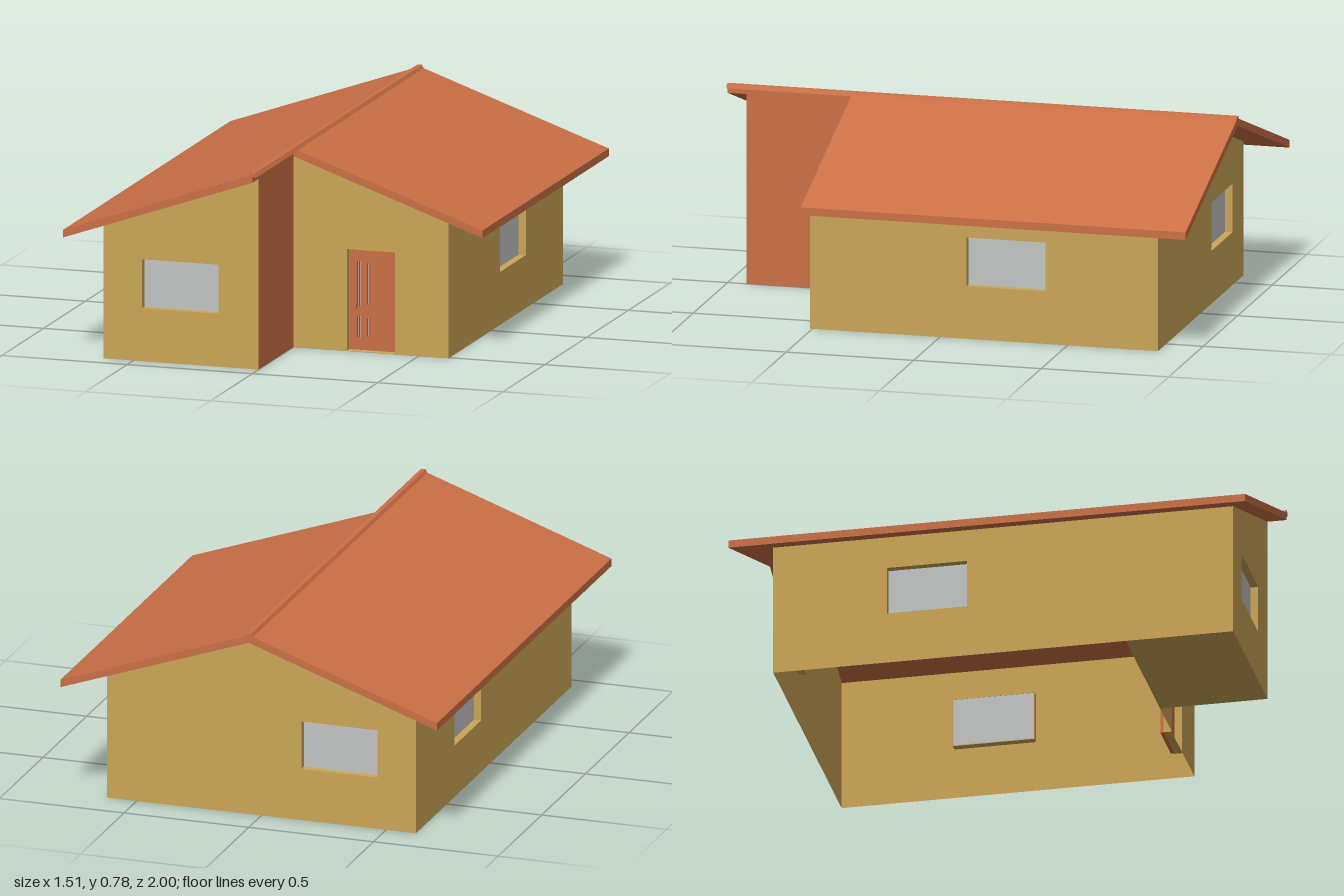
import * as THREE from 'three';

const paint = (name, color) => new THREE.MeshStandardMaterial({ name, color, side: THREE.DoubleSide });

// Main measurements
const HALF = 0.62, EAVE = 0.755, PEAK = 0.74, SLOPE = 0.351, THICK = 0.03;
const BACK = -0.855, PORCH = 0.51, FRONT = 0.925;
const DEPTH = 0.03; // how far windows and door sit behind the wall face
const roofY = (x) => PEAK - SLOPE * Math.abs(x);

const poly = (pts) => new THREE.Shape(pts.map(([x, y]) => new THREE.Vector2(x, y)));
const rect = (x0, y0, x1, y1) => [[x0, y0], [x1, y0], [x1, y1], [x0, y1]];

export function createModel() {
  const model = new THREE.Group();
  model.name = 'house';
  const ochre = paint('ochre wall', 0xcca657);
  const clay = paint('clay orange', 0xcb7046);
  const glass = paint('grey glass', 0xc3c4c4);

  const add = (parent, name, geometry, material) => {
    const mesh = new THREE.Mesh(geometry, material);
    mesh.name = name;
    parent.add(mesh);
    return mesh;
  };
  const extrude = (shape, depth) => new THREE.ExtrudeGeometry(shape, { depth, bevelEnabled: false });

  // A thin wall in its own XY plane, outside facing local +z, with one recessed opening
  function wall(name, outline, hole, kind) {
    const group = new THREE.Group();
    group.name = name;
    model.add(group);
    const shape = poly(outline);
    if (hole) {
      const [x0, y0, x1, y1] = hole;
      shape.holes.push(new THREE.Path(poly(rect(...hole)).getPoints()));
      // Reveal around the opening
      const t = 0.003;
      const ring = poly(rect(x0 - t, Math.max(y0 - t, 0), x1 + t, y1 + t));
      ring.holes.push(new THREE.Path(poly(rect(...hole)).getPoints()));
      add(group, kind + 'Reveal', extrude(ring, DEPTH), ochre).position.z = -DEPTH - 0.001;
      if (kind === 'window') {
        add(group, 'windowPane', new THREE.ShapeGeometry(poly(rect(...hole))), glass).position.z = -DEPTH;
      }
    }
    add(group, name + 'Panel', new THREE.ShapeGeometry(shape), ochre);
    return group;
  }

  // Gable walls: tall left bay, set-back right bay with the door, full back wall
  const gableWindow = [-0.465, 0.205, -0.16, 0.395];
  const door = [0.213, 0.001, 0.405, 0.395];
  wall('frontLeftWall', [[-HALF, 0], [0, 0], [0, PEAK], [-HALF, roofY(HALF)]], gableWindow, 'window')
    .position.z = FRONT;
  const doorWall = wall('frontRightWall', [[0, 0], [HALF, 0], [HALF, roofY(HALF)], [0, PEAK]], door, 'door');
  doorWall.position.z = PORCH;
  const back = wall('backWall',
    [[-HALF, 0], [HALF, 0], [HALF, roofY(HALF)], [0, PEAK], [-HALF, roofY(HALF)]],
    [0.16, 0.205, 0.465, 0.395], 'window');
  back.rotation.y = Math.PI;
  back.position.z = BACK;

  // Side walls
  const right = wall('plusXSideWall', rect(-PORCH, 0, -BACK, roofY(HALF)), [0.105, 0.205, 0.415, 0.395], 'window');
  right.rotation.y = Math.PI / 2;
  right.position.x = HALF;
  const left = wall('minusXSideWall', rect(BACK, 0, FRONT, roofY(HALF)), [-0.415, 0.205, -0.105, 0.395], 'window');
  left.rotation.y = -Math.PI / 2;
  left.position.x = -HALF;

  // Clay wall beside the entrance
  const step = add(model, 'entranceSideWall', new THREE.ShapeGeometry(poly(rect(-FRONT, 0, -PORCH, PEAK))), clay);
  step.rotation.y = Math.PI / 2;

  // Floor under the projecting bay
  const floor = add(model, 'bayFloor', new THREE.PlaneGeometry(HALF, FRONT - PORCH), ochre);
  floor.rotation.x = Math.PI / 2;
  floor.position.set(-HALF / 2, 0, (FRONT + PORCH) / 2);

  // Door leaf with narrow glazed slits and a small handle
  const leaf = poly(rect(...door));
  for (const [x, inset] of [[0.243, 0], [0.252, 0], [0.284, 0.008], [0.297, 0.008]]) {
    for (const [y0, y1] of [[0.045, 0.133], [0.17, 0.345]]) {
      const slit = rect(x, y0 + inset, x + 0.006, y1 - inset);
      leaf.holes.push(new THREE.Path(poly(slit).getPoints()));
    }
  }
  add(doorWall, 'doorLeaf', extrude(leaf, 0.015), clay).position.z = -DEPTH - 0.015;
  add(doorWall, 'doorGlass', new THREE.ShapeGeometry(poly(rect(0.24, 0.04, 0.306, 0.35))), glass)
    .position.z = -DEPTH - 0.0145;
  add(doorWall, 'doorHandle', new THREE.BoxGeometry(0.014, 0.02, 0.01), clay).position.set(0.236, 0.17, -DEPTH + 0.005);

  // Roof slabs with plumb-cut eaves
  for (const [side, name, zEnd] of [[-1, 'minusXRoof', 1], [1, 'plusXRoof', PORCH]]) {
    const e = roofY(EAVE);
    const slab = poly([[0, PEAK], [side * EAVE, e], [side * EAVE, e + THICK], [0, PEAK + THICK]]);
    add(model, name, extrude(slab, zEnd + 1), clay).position.z = -1;
  }

  // Ridge cap
  const cap = poly([[-0.018, 0.762], [0.018, 0.762], [0.009, 0.777], [-0.009, 0.777]]);
  add(model, 'ridgeCap', extrude(cap, 2), clay).position.z = -1;

  return model;
}
